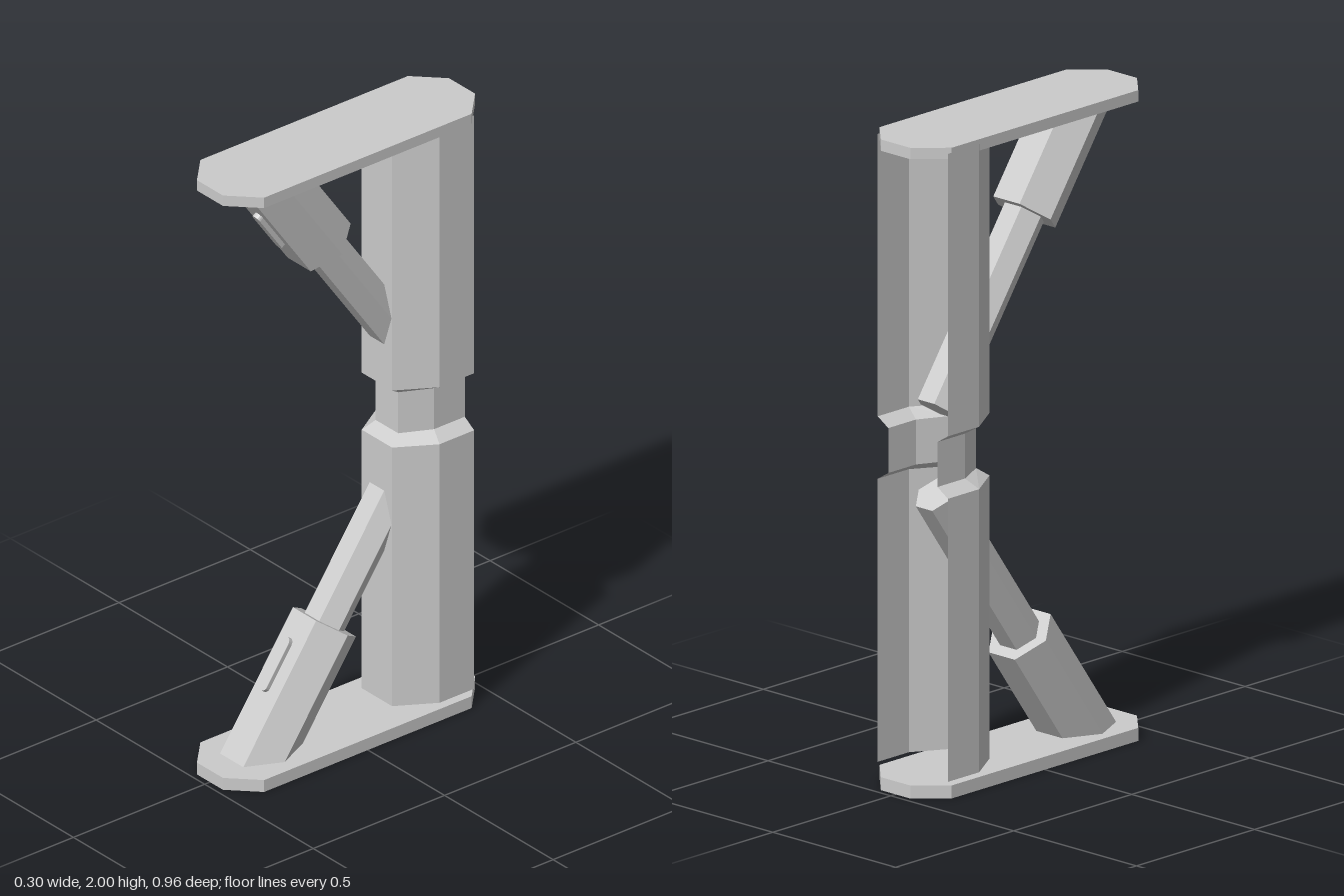
import * as THREE from 'three';

const TILT = 0.614; // lean of the braces towards the column
const grey = new THREE.MeshStandardMaterial({ color: 0xcccccc, flatShading: true });
const greyThin = new THREE.MeshStandardMaterial({ color: 0xcccccc, flatShading: true, side: THREE.DoubleSide });

function add(parent, name, geometry, material = grey) {
  const mesh = new THREE.Mesh(geometry, material);
  mesh.name = name;
  parent.add(mesh);
  return mesh;
}

// Long plate with four cut corners
function plateGeometry(height) {
  const outline = [[0.06, 0.48], [0.147, 0.395], [0.147, -0.395], [0.06, -0.48],
    [-0.06, -0.48], [-0.147, -0.395], [-0.147, 0.395], [-0.06, 0.48]];
  const shape = new THREE.Shape(outline.map(([x, z]) => new THREE.Vector2(x, z)));
  return new THREE.ExtrudeGeometry(shape, { depth: height, bevelEnabled: false }).rotateX(-Math.PI / 2);
}

// Half-octagon shell, open at the back, narrowed at the waist
function columnGeometry() {
  const wide = { w: 0.143, f: 0.07, zc: -0.28, zf: -0.16 };
  const slim = { w: 0.1, f: 0.052, zc: -0.295, zf: -0.198 };
  const levels = [[0.055, wide], [0.925, wide], [0.952, slim], [1.09, slim], [1.117, wide], [1.985, wide]];
  const positions = [], index = [];
  levels.forEach(([y, { w, f, zc, zf }], row) => {
    const section = [[-w, -0.412], [-w, zc], [-f, zf], [f, zf], [w, zc], [w, -0.412]];
    section.forEach(([x, z], i) => {
      positions.push(x - 0.005, y, z);
      if (row === 0 || i === 0) return;
      const d = row * 6 + i, c = d - 1, b = d - 6, a = b - 1;
      index.push(a, b, d, a, d, c);
    });
  });
  const geometry = new THREE.BufferGeometry();
  geometry.setAttribute('position', new THREE.Float32BufferAttribute(positions, 3));
  geometry.setIndex(index);
  geometry.computeVertexNormals();
  return geometry;
}

// Hexagonal bar along the tilted axis, from distance d0 to d1 past the origin
function hexBar(radius, d0, d1) {
  return new THREE.CylinderGeometry(radius, radius, d1 - d0, 6)
    .rotateY(Math.PI / 6).translate(0, (d0 + d1) / 2, 0).rotateX(-TILT);
}

// Sleeve, rod and slotted tab; (y, z) is the centre of the sleeve's free end
function createBrace(name, y, z, x, rodLength, tabMiddle) {
  const brace = new THREE.Group();
  brace.name = name;

  const sleeve = hexBar(0.107, -0.3, 0).translate(x, y, z);
  // Slide the foot of the sleeve along its axis so it ends level inside the plate
  const p = sleeve.attributes.position;
  const slope = Math.tan(TILT);
  const axis = new THREE.Vector3(0, Math.cos(TILT), -Math.sin(TILT));
  const v = new THREE.Vector3();
  for (let i = 0; i < p.count; i++) {
    v.fromBufferAttribute(p, i);
    if (v.sub(new THREE.Vector3(x, y, z)).dot(axis) > -0.15) continue;
    const drop = p.getY(i) - 0.02;
    p.setXYZ(i, p.getX(i), 0.02, p.getZ(i) + drop * slope);
  }
  add(brace, 'braceSleeve', sleeve);
  add(brace, 'braceRod', hexBar(0.067, -0.05, rodLength).translate(x, y, z));

  // Round-ended tab on the outer face of the sleeve
  const r = 0.016, h = 0.072;
  const shape = new THREE.Shape();
  shape.absarc(0, h, r, 0, Math.PI, false);
  shape.absarc(0, -h, r, Math.PI, 2 * Math.PI, false);
  const tab = new THREE.ExtrudeGeometry(shape, { depth: 0.025, bevelEnabled: false, curveSegments: 4 });
  tab.translate(-0.007, tabMiddle, 0.082).rotateX(-TILT).translate(x, y, z);
  add(brace, 'braceTab', tab);
  return brace;
}

export function createModel() {
  const model = new THREE.Group();
  model.name = 'bracedColumn';

  add(model, 'basePlate', plateGeometry(0.04));
  add(model, 'topPlate', plateGeometry(0.035)).position.y = 1.965;
  add(model, 'columnShell', columnGeometry(), greyThin);

  model.add(createBrace('lowerBrace', 0.38, 0.04, -0.005, 0.62, -0.17));

  // The upper brace is the lower one turned upside down
  const upper = createBrace('upperBrace', 0.33, 0.06, 0.005, 0.64, -0.2);
  upper.rotation.z = Math.PI;
  upper.position.y = 2;
  model.add(upper);

  return model;
}
